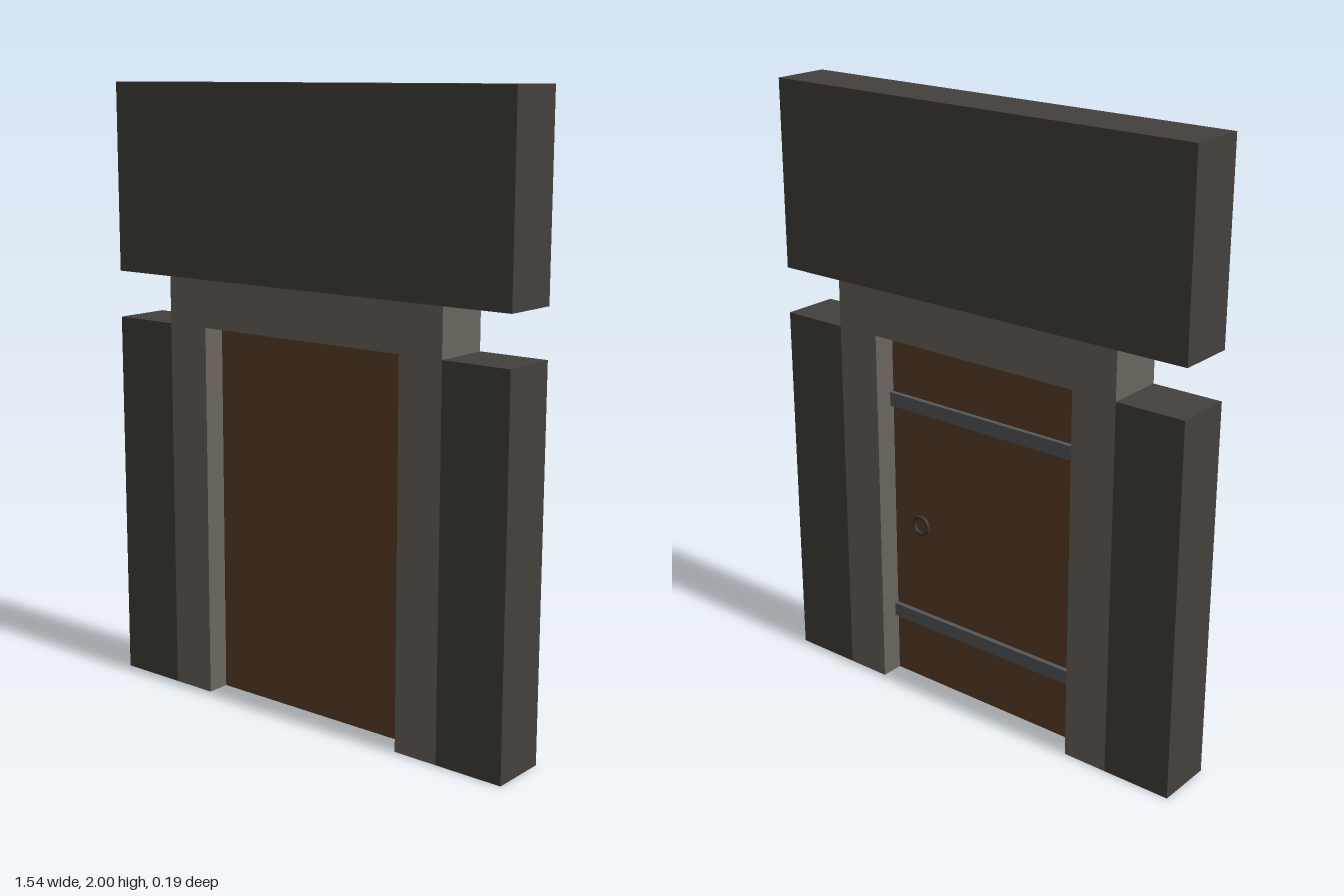
import * as THREE from 'three';

const WALL = 0x44403c, STONE = 0x6b655d, WOOD = 0x5e4128, IRON = 0x54585d, HANDLE = 0x3a3632;
const DEPTH = 0.192;       // wall thickness
const HALF = 0.769;        // half of the overall width
const FRAME = 0.538;       // outer half width of the door frame
const OPENING = 0.385;     // half width of the doorway
const DOOR_H = 1.231, FRAME_H = 1.385;
const DOOR_T = 0.038;

export function createModel() {
  const group = new THREE.Group();
  const add = (name, geometry, color, x, y, z = 0) => {
    const mesh = new THREE.Mesh(geometry, new THREE.MeshStandardMaterial({ color }));
    mesh.name = name;
    mesh.position.set(x, y, z);
    group.add(mesh);
    return mesh;
  };
  const box = (w, h, d) => new THREE.BoxGeometry(w, h, d);

  // Wall block above the doorway
  add('upperWall', box(HALF * 2, 2 - FRAME_H, DEPTH), WALL, 0, (2 + FRAME_H) / 2);

  // Wall blocks on either side
  for (const [side, s] of [['left', 1], ['right', -1]]) {
    add(side + 'Wall', box(HALF - FRAME, DOOR_H, DEPTH), WALL, s * (HALF + FRAME) / 2, DOOR_H / 2);
  }

  // Stone door frame: one arch of two jambs and a lintel
  const outline = new THREE.Shape([
    [-FRAME, 0], [-OPENING, 0], [-OPENING, DOOR_H], [OPENING, DOOR_H],
    [OPENING, 0], [FRAME, 0], [FRAME, FRAME_H], [-FRAME, FRAME_H],
  ].map(([x, y]) => new THREE.Vector2(x, y)));
  const frame = new THREE.ExtrudeGeometry(outline, { depth: DEPTH, bevelEnabled: false });
  add('doorFrame', frame, STONE, 0, 0, -DEPTH / 2);

  // Door leaf, set in the middle of the wall
  add('door', box(OPENING * 2, DOOR_H, DOOR_T), WOOD, 0, DOOR_H / 2);

  // Iron straps across the back of the door
  const strapT = 0.016;
  for (const [name, y] of [['lowerStrap', 0.231], ['upperStrap', 1.0]]) {
    add(name, box(OPENING * 2, 0.046, strapT), IRON, 0, y, -(DOOR_T + strapT) / 2);
  }

  // Ring handle on the back
  add('ringHandle', new THREE.TorusGeometry(0.03, 0.007, 8, 24), HANDLE, 0.269, 0.577, -DOOR_T / 2 - 0.007);

  return group;
}
